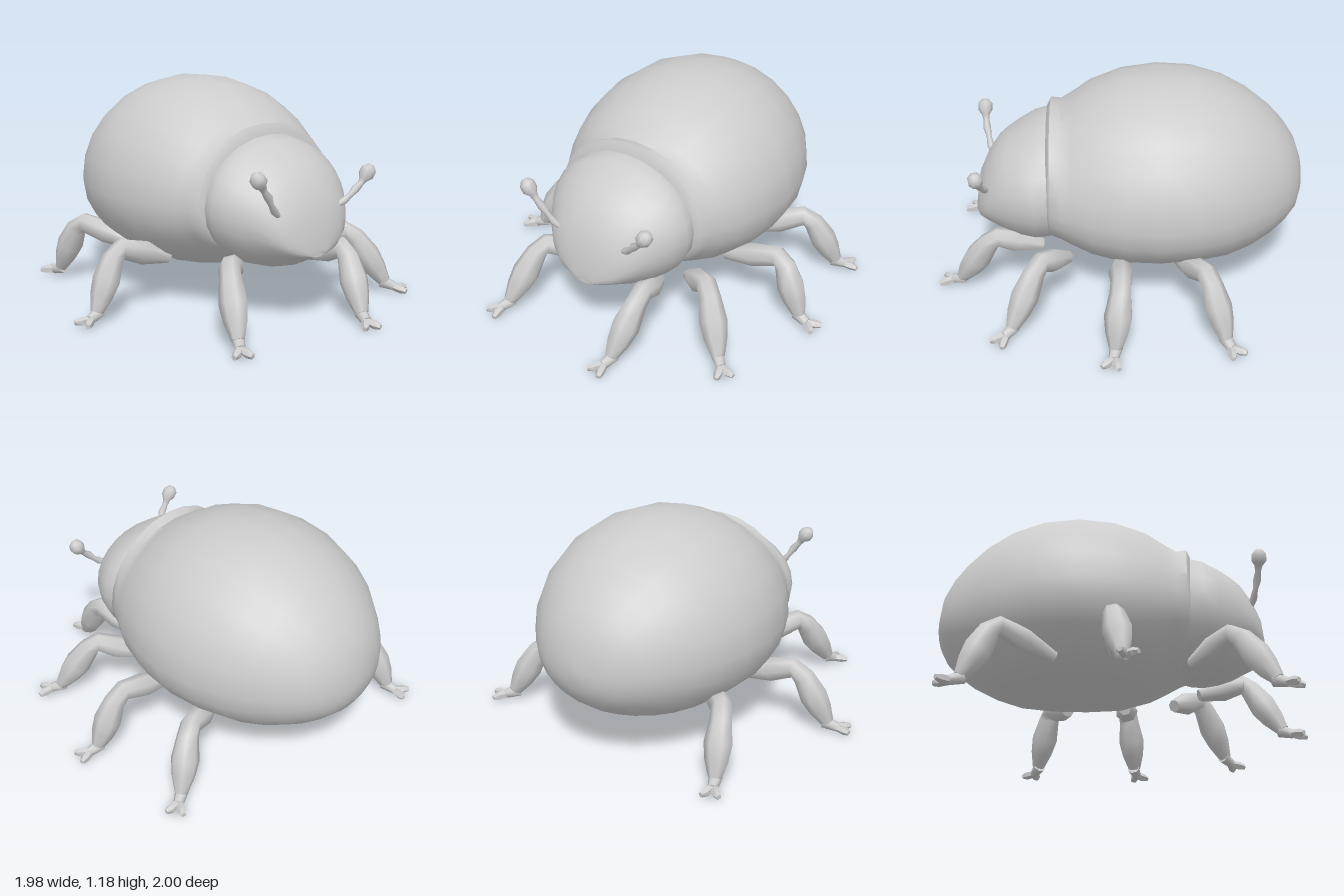
import * as THREE from 'three';
import { toCreasedNormals } from 'three/addons/utils/BufferGeometryUtils.js';

const V = (x, y, z) => new THREE.Vector3(x, y, z);

// Skin a row of closed rings and cap both ends
function loft(rings, crease) {
  const n = rings[0].length, m = rings.length;
  const pts = rings.flat();
  const centre = r => r.reduce((s, p) => s.add(p), V(0, 0, 0)).divideScalar(n);
  pts.push(centre(rings[0]), centre(rings[m - 1]));
  const idx = [];
  for (let i = 0; i < m - 1; i++) {
    for (let j = 0; j < n; j++) {
      const k = (j + 1) % n;
      const a = i * n + j, b = i * n + k, c = b + n, d = a + n;
      idx.push(a, b, c, a, c, d);
    }
  }
  for (let j = 0; j < n; j++) {
    const k = (j + 1) % n, e = (m - 1) * n;
    idx.push(m * n, k, j, m * n + 1, e + j, e + k);
  }
  const g = new THREE.BufferGeometry().setFromPoints(pts);
  g.setIndex(idx);
  return toCreasedNormals(g, crease);
}

// Sections across z: [z, half width, top y, widest y, bottom y]
function shell(sections, sides = 24) {
  return loft(sections.map(([z, w, top, mid, low]) =>
    Array.from({ length: sides }, (_, j) => {
      const a = j / sides * Math.PI * 2, s = Math.sin(a);
      return V(w * Math.cos(a), mid + s * (s > 0 ? top - mid : mid - low), z);
    })), 0.75);
}

// Tapered limb through points, with a radius at each
function limb(points, radii, sides = 7) {
  const span = points[points.length - 1].clone().sub(points[0]).setY(0).normalize();
  const side = span.cross(V(0, 1, 0)).normalize();
  return loft(points.map((p, i) => {
    const t = points[Math.min(i + 1, points.length - 1)].clone()
      .sub(points[Math.max(i - 1, 0)]).normalize();
    const v = t.clone().cross(side).normalize();
    const u = v.clone().cross(t);
    return Array.from({ length: sides }, (_, j) => {
      const a = j / sides * Math.PI * 2;
      return p.clone().addScaledVector(u, radii[i] * Math.cos(a))
        .addScaledVector(v, radii[i] * Math.sin(a));
    });
  }), 1.2);
}

export function createModel() {
  const model = new THREE.Group();
  model.name = 'beetle';
  const grey = new THREE.MeshStandardMaterial({ color: 0xcccccc });
  grey.name = 'plain grey';
  const add = (name, geometry, parent = model) => {
    const mesh = new THREE.Mesh(geometry, grey);
    mesh.name = name;
    parent.add(mesh);
  };

  // Domed wing case and belly, ending in a raised collar
  add('body', shell([
    [-1.0, 0.03, 0.60, 0.575, 0.55],
    [-0.985, 0.12, 0.70, 0.575, 0.48],
    [-0.95, 0.23, 0.80, 0.58, 0.41],
    [-0.89, 0.32, 0.89, 0.585, 0.35],
    [-0.81, 0.40, 0.975, 0.59, 0.29],
    [-0.70, 0.49, 1.06, 0.60, 0.235],
    [-0.57, 0.56, 1.13, 0.60, 0.195],
    [-0.40, 0.615, 1.18, 0.60, 0.18],
    [-0.21, 0.635, 1.19, 0.60, 0.175],
    [-0.02, 0.61, 1.165, 0.60, 0.175],
    [0.15, 0.555, 1.10, 0.60, 0.215],
    [0.25, 0.50, 1.03, 0.60, 0.26],
    [0.31, 0.465, 0.995, 0.60, 0.29],
    [0.365, 0.44, 1.01, 0.60, 0.31],
    [0.385, 0.40, 0.97, 0.60, 0.33]]));

  // Rounded head shield, blunt at the lower front
  add('head', shell([
    [0.30, 0.38, 0.93, 0.61, 0.30],
    [0.38, 0.41, 0.955, 0.61, 0.28],
    [0.45, 0.42, 0.93, 0.61, 0.275],
    [0.53, 0.385, 0.885, 0.60, 0.285],
    [0.60, 0.34, 0.84, 0.58, 0.305],
    [0.65, 0.30, 0.80, 0.56, 0.33],
    [0.71, 0.245, 0.71, 0.52, 0.36],
    [0.755, 0.17, 0.61, 0.47, 0.38],
    [0.78, 0.06, 0.45, 0.415, 0.39]]));

  // Legs: hip, knee, foot tip
  const legs = [
    ['frontLeftLeg', [0.22, 0.28, 0.42], [0.28, 0.37, 0.68], [0.195, 0.03, 0.985]],
    ['secondLeftLeg', [0.32, 0.26, 0.28], [0.53, 0.37, 0.43], [0.77, 0.03, 0.65]],
    ['thirdLeftLeg', [0.38, 0.27, 0.0], [0.73, 0.375, 0.0], [0.98, 0.04, 0.06]],
    ['rearLeftLeg', [0.36, 0.26, -0.32], [0.65, 0.37, -0.45], [0.90, 0.04, -0.60]],
    ['frontRightLeg', [-0.22, 0.28, 0.38], [-0.42, 0.37, 0.60], [-0.56, 0.03, 0.90]],
    ['middleRightLeg', [-0.38, 0.27, 0.0], [-0.70, 0.375, 0.0], [-0.97, 0.04, 0.09]],
    ['rearRightLeg', [-0.38, 0.27, -0.32], [-0.58, 0.37, -0.60], [-0.665, 0.04, -0.86]]];
  for (const [name, h, k, f] of legs) {
    const leg = new THREE.Group();
    leg.name = name;
    model.add(leg);
    const hip = V(...h), knee = V(...k), toe = V(...f);
    const out = toe.clone().sub(knee).setY(0).normalize();
    const across = V(-out.z, 0, out.x);
    const ankle = toe.clone().addScaledVector(out, -0.12).setY(0.07);
    const mid = (a, b, t) => a.clone().lerp(b, t);
    add('thighAndShin', limb(
      [hip, mid(hip, knee, 0.5), mid(hip, knee, 0.92), mid(knee, ankle, 0.16),
        mid(knee, ankle, 0.5), mid(knee, ankle, 0.75), ankle],
      [0.035, 0.065, 0.055, 0.058, 0.075, 0.062, 0.035]), leg);
    // Short foot with two spread claws
    const split = toe.clone().addScaledVector(out, -0.065).setY(0.045);
    add('foot', limb([ankle.clone().addScaledVector(out, -0.02), split], [0.035, 0.026]), leg);
    for (const s of [-1, 1]) {
      const tip = toe.clone().addScaledVector(across, s * 0.045);
      add('claw', limb([split.clone().addScaledVector(out, -0.015), mid(split, tip, 0.6), tip],
        [0.02, 0.024, 0.014], 5), leg);
    }
  }

  // Jointed antennae with round clubs, the right one raised higher
  for (const [name, s, lift] of [['leftAntenna', 1, 0], ['rightAntenna', -1, 0.055]]) {
    const p = (x, y, z, t) => V(s * x, y + lift * t, z);
    add(name, limb(
      [p(0.19, 0.61, 0.70, 0), p(0.23, 0.635, 0.715, 0.2), p(0.26, 0.66, 0.725, 0.5),
        p(0.285, 0.69, 0.735, 0.7), p(0.315, 0.715, 0.74, 0.9), p(0.33, 0.735, 0.742, 1),
        p(0.345, 0.755, 0.745, 1), p(0.367, 0.785, 0.745, 1), p(0.382, 0.805, 0.745, 1)],
      [0.012, 0.02, 0.014, 0.022, 0.016, 0.022, 0.04, 0.04, 0.018], 8));
  }
  return model;
}
